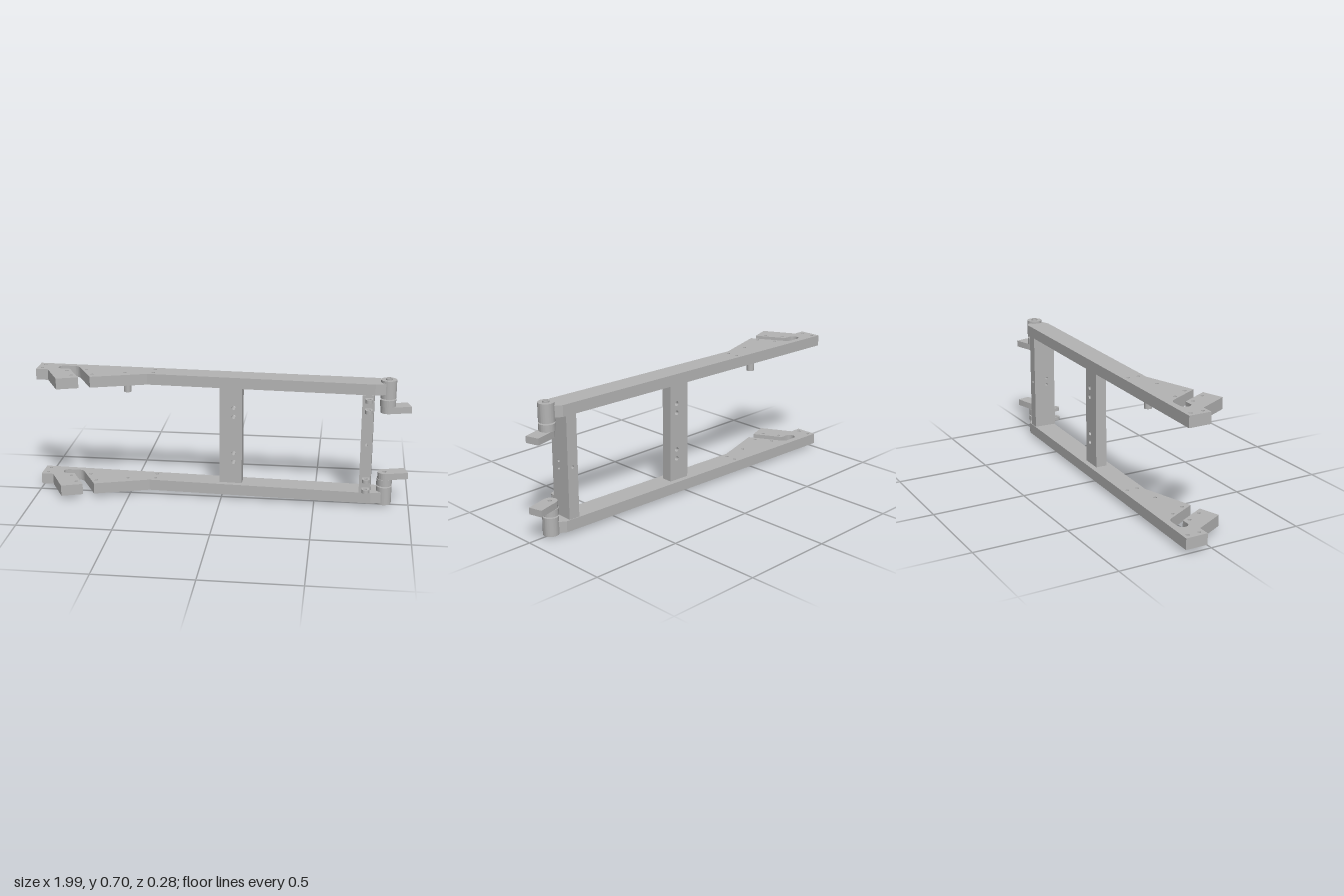
import * as THREE from 'three';
import { toCreasedNormals } from 'three/addons/utils/BufferGeometryUtils.js';

const steel = new THREE.MeshStandardMaterial({ color: 0xb4b4b4 });
steel.name = 'grey steel';

const HEIGHT = 0.7;                 // overall height, parts mirror about the middle
const TILT = 0.04;                  // cross members follow the slope of the arms
const PIVOT = [0.868, -0.004];      // hinge axis (x, z)

function addHole(shape, x, y, r) {
  const path = new THREE.Path();
  path.absarc(x, y, r, 0, Math.PI * 2, true);
  shape.holes.push(path);
}

function extrude(shape, depth) {
  const geo = new THREE.ExtrudeGeometry(shape, { depth, bevelEnabled: false, curveSegments: 24 });
  return toCreasedNormals(geo, 0.3);
}

function addMesh(parent, name, geo) {
  const mesh = new THREE.Mesh(geo, steel);
  mesh.name = name;
  parent.add(mesh);
  return mesh;
}

// Horizontal slab from y0 to y1; shape coordinates are (x, -z)
function slab(parent, name, shape, y0, y1) {
  return addMesh(parent, name, extrude(shape, y1 - y0).rotateX(-Math.PI / 2).translate(0, y0, 0));
}

// The same slab at the bottom and mirrored at the top
function slabPair(parent, name, shape, y0, y1) {
  slab(parent, name + 'Lower', shape, y0, y1);
  slab(parent, name + 'Upper', shape, HEIGHT - y1, HEIGHT - y0);
}

function disc(x, z, r, bore) {
  const s = new THREE.Shape();
  s.absarc(x, -z, r, 0, Math.PI * 2, false);
  if (bore) addHole(s, x, -z, bore);
  return s;
}

function rect(x0, y0, x1, y1) {
  return new THREE.Shape([[x0, y0], [x1, y0], [x1, y1], [x0, y1]].map(p => new THREE.Vector2(...p)));
}

// Long arm with a hooked slot at its far end
function armShape() {
  const s = new THREE.Shape();
  s.moveTo(-1, 0.142);
  s.lineTo(-1, 0.022);
  s.lineTo(-0.935, 0.022);
  s.lineTo(-0.85, -0.142);
  s.lineTo(-0.74, -0.105);
  s.lineTo(-0.82, 0.045);
  s.lineTo(-0.86, 0.045);
  s.absarc(-0.86, 0.073, 0.028, -Math.PI / 2, Math.PI / 2, true);
  s.lineTo(-0.81, 0.101);
  s.quadraticCurveTo(-0.785, 0.101, -0.77, 0.075);
  s.lineTo(-0.682, -0.09);
  s.lineTo(-0.395, 0);
  s.lineTo(0.80, -0.052);
  s.lineTo(0.853, -0.036);
  s.lineTo(0.853, 0.05);
  s.lineTo(0.82, 0.07);
  s.closePath();
  const holes = [[-0.97, -0.115], [-0.97, -0.05], [-0.83, -0.013], [-0.785, 0.07], [-0.73, -0.045],
    [-0.68, 0.04], [-0.515, -0.013], [-0.366, -0.088], [-0.366, -0.03]];
  for (const [x, z] of holes) addHole(s, x, -z, 0.009);
  // clearance for the hinge pin
  return s;
}

// Hinge bracket: rounded around the pivot, square at the tip
function bracketShape() {
  const [px, pz] = PIVOT, a = 0.26, r = 0.037, len = 0.118;
  const c = Math.cos(a), n = Math.sin(a);
  const s = new THREE.Shape();
  s.absarc(px, -pz, r, a + Math.PI / 2, a + Math.PI * 1.5, false);
  s.lineTo(px + len * c + r * n, -pz + len * n - r * c);
  s.lineTo(px + len * c - r * n, -pz + len * n + r * c);
  s.closePath();
  addHole(s, px, -pz, 0.0175);
  return s;
}

// Small lug with a rounded, drilled tip
function lugShape() {
  const s = new THREE.Shape();
  s.moveTo(-0.019, -0.04);
  s.lineTo(-0.019, -0.079);
  s.absarc(0, -0.079, 0.019, Math.PI, Math.PI * 2, false);
  s.lineTo(0.019, -0.04);
  s.closePath();
  addHole(s, 0, -0.077, 0.01);
  return s;
}

export function createModel() {
  const model = new THREE.Group();
  model.name = 'hingedFrame';

  slabPair(model, 'arm', armShape(), 0.021, 0.08);

  // Hinges
  const [px, pz] = PIVOT;
  slabPair(model, 'hingeHub', disc(px, pz, 0.041, 0.0175), 0.008, 0.105);
  slabPair(model, 'hingeCollar', disc(px, pz, 0.041, 0.0175), 0.112, 0.149);
  slabPair(model, 'hingeBracket', bracketShape(), 0.149, 0.184);
  slabPair(model, 'hingePin', disc(px, pz, 0.018, 0.011), 0, 0.184);

  // Middle cross brace with four through holes
  const brace = rect(-0.06, 0.08, 0.06, 0.62);
  for (const y of [0.2, 0.25, 0.455, 0.505]) addHole(brace, 0.016, y, 0.012);
  const braceMesh = addMesh(model, 'crossBrace', extrude(brace, 0.06).translate(0, 0, -0.03));
  braceMesh.position.set(0.05, 0, -0.041);
  braceMesh.rotation.y = -TILT;

  // End post, drilled sideways twice and front to back once
  const post = new THREE.Group();
  post.name = 'endPost';
  post.position.set(0.768, 0, -0.007);
  post.rotation.y = -TILT;
  model.add(post);
  for (const [y0, y1, hole] of [[0.08, 0.34, 0.331], [0.36, 0.62, 0.37]]) {
    const side = rect(-0.0615, y0, 0.0615, y1);
    addHole(side, -0.012, hole, 0.0075);
    addMesh(post, 'postSection', extrude(side, 0.06).translate(0, 0, -0.03).rotateY(Math.PI / 2));
  }
  const middle = rect(-0.03, 0.34, 0.03, 0.36);
  addHole(middle, 0, 0.35, 0.008);
  addMesh(post, 'postMiddle', extrude(middle, 0.123).translate(0, 0, -0.0615));

  // Lugs on the front of the post
  for (const y of [0.093, 0.15]) {
    const lugs = new THREE.Group();
    lugs.name = 'lugPair';
    lugs.position.x = 0.77;
    model.add(lugs);
    slabPair(lugs, 'lug', lugShape(), y, y + 0.019);
  }

  // Stop peg under the upper arm
  slab(model, 'stopPeg', disc(-0.512, -0.06, 0.02), 0.56, 0.625);

  return model;
}
